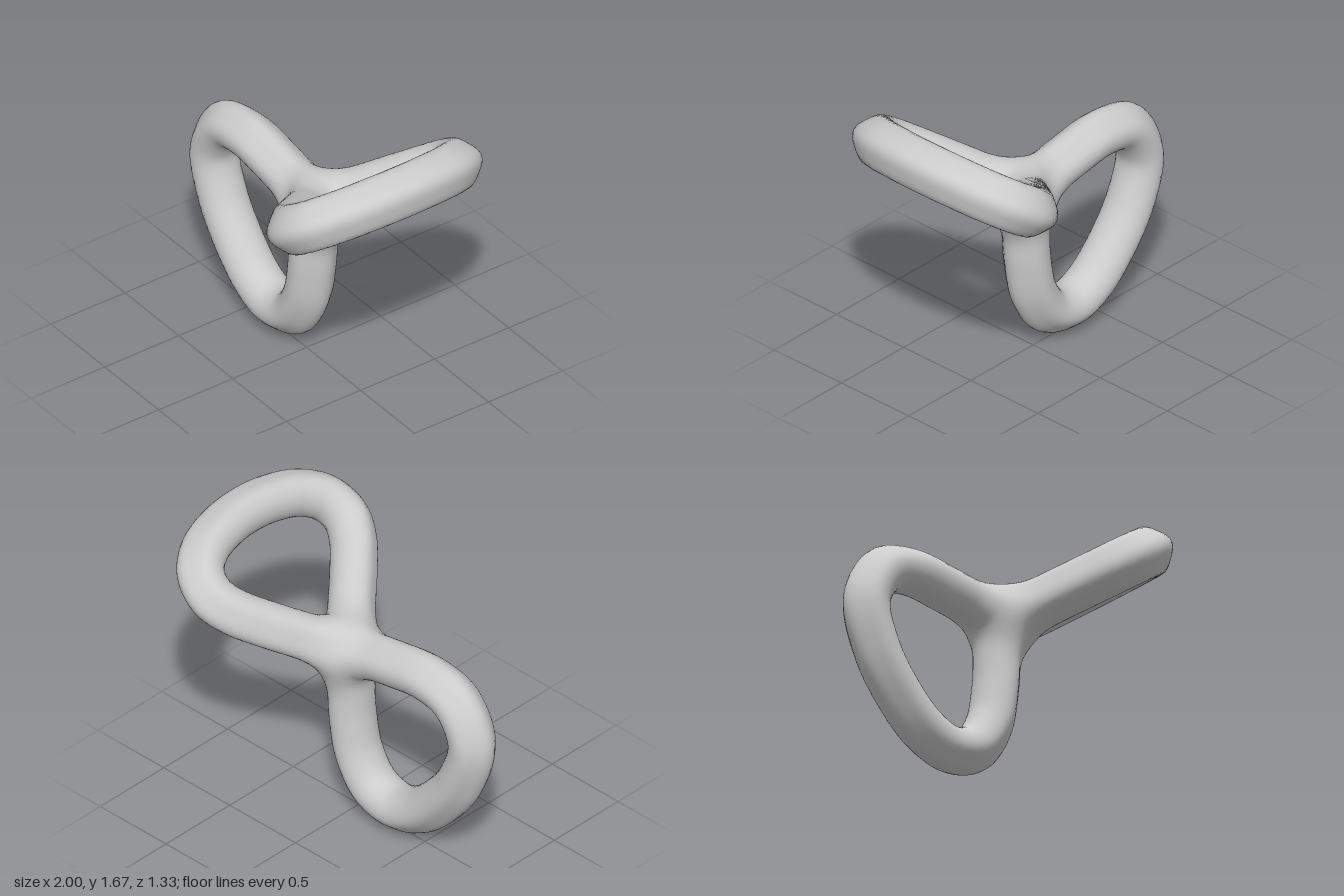
import * as THREE from 'three';

const BLEND = 0.23; // softness of the joint between the two loops
const STEP = 0.03;  // mesh resolution

function makeLoop(pts, normal) {
  const curve = new THREE.CatmullRomCurve3(pts.map((p) => new THREE.Vector3(...p)), true, 'centripetal');
  const points = curve.getSpacedPoints(180);
  const centre = new THREE.Box3().setFromPoints(points).getCenter(new THREE.Vector3());
  return { points, centre, normal: new THREE.Vector3(...normal).normalize() };
}

// Upright loop, lying in the z = 0 plane
const uprightLoop = makeLoop([
  [0.0, 1.01, 0], [-0.13, 1.065, 0], [-0.3, 1.1, 0], [-0.53, 1.128, 0], [-0.74, 1.075, 0], [-0.865, 0.86, 0],
  [-0.79, 0.58, 0], [-0.64, 0.36, 0], [-0.46, 0.195, 0], [-0.285, 0.132, 0], [-0.11, 0.185, 0],
  [0.01, 0.36, 0], [0.057, 0.58, 0], [0.068, 0.74, 0], [0.062, 0.9, 0],
], [0, 0, 1]);

// Tilted loop, mirrored in z and lying in a plane that rises toward +x
const SLOPE = 0.685;
const tiltedHalf = [[0.195, 0.13], [0.29, 0.25], [0.4, 0.375], [0.5, 0.475], [0.61, 0.533], [0.725, 0.5], [0.81, 0.38], [0.858, 0.2]];
const onTilt = ([x, z]) => [x, 0.945 + SLOPE * x, z];
const tiltedLoop = makeLoop([
  [0.15, 0], ...tiltedHalf, [0.874, 0], ...tiltedHalf.map(([x, z]) => [x, -z]).reverse(),
].map(onTilt), [-SLOPE, 1, 0]);

// Distance to a tube whose section is slightly flattened and tapers toward the loop's outer rim
function tubeDistance({ points, centre, normal }, x, y, z) {
  let best = Infinity, p;
  for (const q of points) {
    const d = (q.x - x) ** 2 + (q.y - y) ** 2 + (q.z - z) ** 2;
    if (d < best) [best, p] = [d, q];
  }
  const dx = x - p.x, dy = y - p.y, dz = z - p.z;
  const across = dx * normal.x + dy * normal.y + dz * normal.z;
  const inPlane = 1 - across ** 2 / Math.max(best, 1e-6);
  const outward = dx * (p.x - centre.x) + dy * (p.y - centre.y) + dz * (p.z - centre.z) > 0;
  const taper = outward ? 0.064 * inPlane * (1 - inPlane) : 0;
  return Math.sqrt(best) - (0.143 - 0.01 * inPlane - taper);
}

// Signed distance to both tubes, smoothly merged where they touch
function field(x, y, z) {
  const a = tubeDistance(uprightLoop, x, y, z), b = tubeDistance(tiltedLoop, x, y, z);
  const h = Math.max(BLEND - Math.abs(a - b), 0) / BLEND;
  return Math.min(a, b) - h * h * BLEND * 0.25;
}

function gradient(x, y, z, e = 0.012) {
  return new THREE.Vector3(
    field(x + e, y, z) - field(x - e, y, z),
    field(x, y + e, z) - field(x, y - e, z),
    field(x, y, z + e) - field(x, y, z - e),
  ).divideScalar(2 * e);
}

// Surface net over a regular grid: one vertex per crossed cell, one quad per crossed edge
function surfaceNet(min, max) {
  const n = min.map((m, i) => Math.ceil((max[i] - m) / STEP) + 1);
  const stride = [1, n[0], n[0] * n[1]];
  const values = new Float32Array(n[0] * n[1] * n[2]).fill(1);
  const cellVertex = new Int32Array(values.length).fill(-1);
  const positions = [], normals = [], indices = [];
  const each = (from, visit) => {
    for (let k = from; k < n[2] - 1; k++)
      for (let j = from; j < n[1] - 1; j++)
        for (let i = from; i < n[0] - 1; i++) visit(i, j, k, i + j * stride[1] + k * stride[2]);
  };
  each(0, (i, j, k, id) => {
    values[id] = field(min[0] + i * STEP, min[1] + j * STEP, min[2] + k * STEP);
  });

  each(0, (i, j, k, id) => {
    const sum = new THREE.Vector3();
    let count = 0;
    for (let c = 0; c < 8; c++) {
      const o = [c & 1, (c >> 1) & 1, c >> 2];
      const corner = id + o[0] + o[1] * stride[1] + o[2] * stride[2];
      for (let axis = 0; axis < 3; axis++) {
        if (o[axis]) continue;
        const va = values[corner], vb = values[corner + stride[axis]];
        if ((va < 0) === (vb < 0)) continue;
        const q = [i + o[0], j + o[1], k + o[2]];
        q[axis] += va / (va - vb);
        sum.add(new THREE.Vector3(...q));
        count++;
      }
    }
    if (!count) return;
    const p = sum.multiplyScalar(STEP / count).add(new THREE.Vector3(...min));
    // Pull the vertex onto the true surface
    for (let s = 0; s < 2; s++) {
      const g = gradient(p.x, p.y, p.z);
      p.addScaledVector(g, -field(p.x, p.y, p.z) / Math.max(g.lengthSq(), 0.5));
    }
    const normal = gradient(p.x, p.y, p.z, 0.025).normalize();
    cellVertex[id] = positions.length / 3;
    positions.push(p.x, p.y, p.z);
    normals.push(normal.x, normal.y, normal.z);
  });

  each(1, (i, j, k, id) => {
    for (let axis = 0; axis < 3; axis++) {
      const inside = values[id] < 0;
      if (inside === values[id + stride[axis]] < 0) continue;
      const u = stride[(axis + 1) % 3], v = stride[(axis + 2) % 3];
      const [a, b, c, d] = [id - u - v, id - v, id, id - u].map((cell) => cellVertex[cell]);
      if (inside) indices.push(a, b, c, a, c, d);
      else indices.push(a, c, b, a, d, c);
    }
  });

  const geometry = new THREE.BufferGeometry();
  geometry.setAttribute('position', new THREE.Float32BufferAttribute(positions, 3));
  geometry.setAttribute('normal', new THREE.Float32BufferAttribute(normals, 3));
  geometry.setIndex(indices);
  return geometry;
}

export function createModel() {
  const group = new THREE.Group();
  group.name = 'twistedFigureEight';
  // Both loops form one continuous skin
  const loops = new THREE.Mesh(
    surfaceNet([-1.1, -0.1, -0.78], [1.1, 1.78, 0.78]),
    new THREE.MeshStandardMaterial({ color: 0xcccccc }),
  );
  loops.name = 'joinedLoops';
  group.add(loops);
  return group;
}
